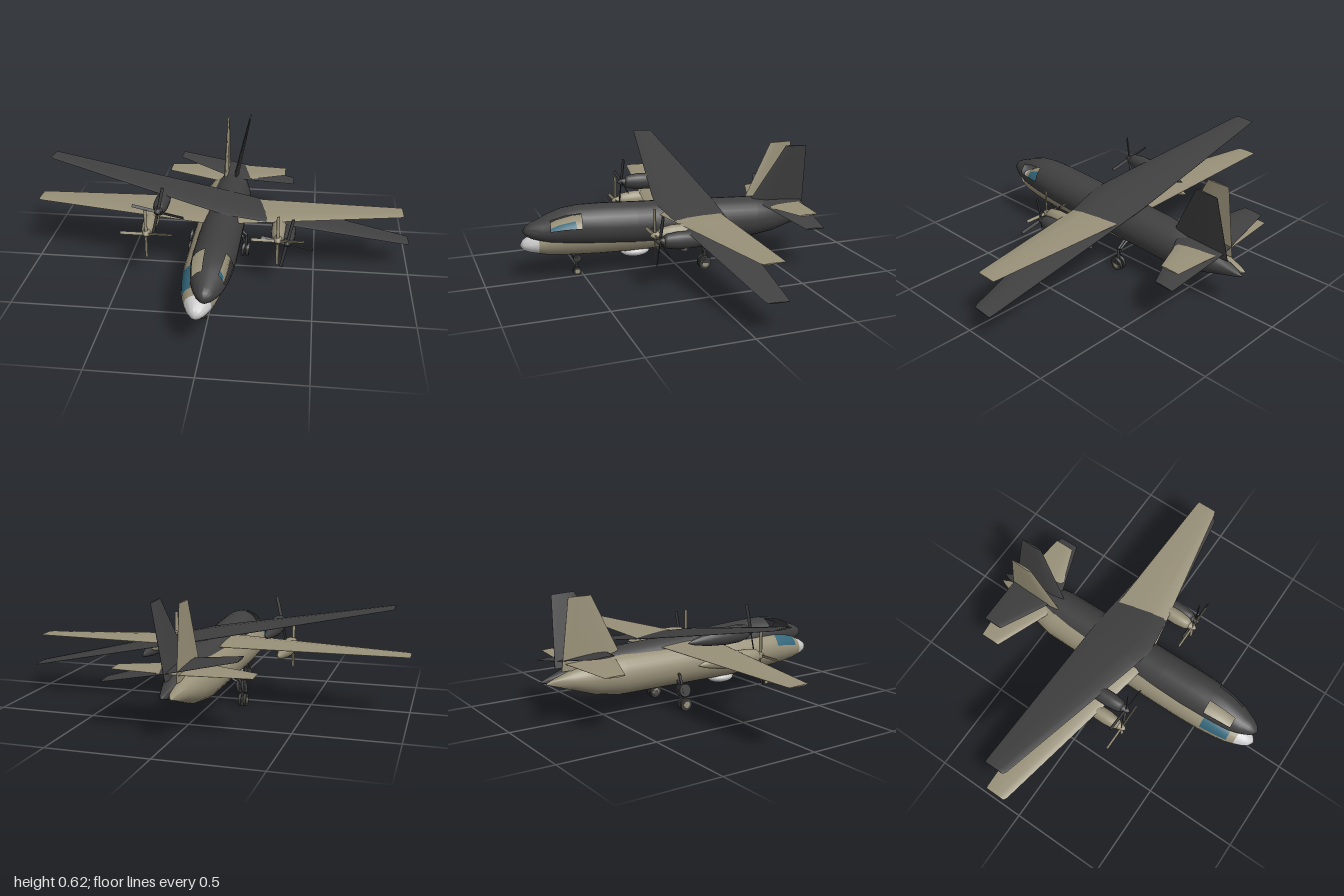
import * as THREE from 'three';
import { toCreasedNormals } from 'three/addons/utils/BufferGeometryUtils.js';

const mat = (name, color, side = THREE.FrontSide) => {
  const m = new THREE.MeshStandardMaterial({ color, side });
  m.name = name;
  return m;
};

// Skin over closed rings; slot(i, j) picks a material slot per quad, -1 leaves a hole
function loft(rings, slot = () => 0, crease = 0.7) {
  const n = rings[0].length, buckets = [[], [], []];
  rings.slice(1).forEach((_, i) => {
    for (let j = 0; j < n; j++) {
      const s = slot(i, j);
      if (s < 0) continue;
      const k = (j + 1) % n, a = i * n + j, b = i * n + k, d = a + n, c = b + n;
      buckets[s].push(a, d, b, b, d, c);
    }
  });
  const last = (rings.length - 1) * n;
  for (let j = 1; j < n - 1; j++) {
    buckets[slot(0, j)].push(0, j, j + 1);
    buckets[0].push(last, last + j + 1, last + j);
  }
  const g = new THREE.BufferGeometry();
  g.setAttribute('position', new THREE.Float32BufferAttribute(rings.flat(2), 3));
  g.setIndex(buckets.flat());
  let start = 0;
  buckets.forEach((b, s) => {
    if (b.length) g.addGroup(start, b.length, s);
    start += b.length;
  });
  return toCreasedNormals(g, crease);
}

// Aerofoil panel along x; stations are [x, leading z, trailing z, thickness]
const FOIL = [[0, 0], [0.06, 0.3], [0.3, 0.5], [0.65, 0.35], [1, 0.04],
  [1, -0.04], [0.65, -0.35], [0.3, -0.5], [0.06, -0.3]];
const panel = stations => loft(stations.map(([x, le, te, t]) =>
  FOIL.map(([u, v]) => [x, v * t, le + (te - le) * u])));
const mirrored = half => [...half.map(([x, ...r]) => [-x, ...r]).reverse(), ...half];

// Fuselage stations: z, half width, top, bottom
const BODY = [
  [0.815, 0.004, -0.012, -0.02], [0.8, 0.028, 0.01, -0.042], [0.77, 0.047, 0.028, -0.055],
  [0.73, 0.064, 0.044, -0.065], [0.69, 0.079, 0.066, -0.075], [0.62, 0.093, 0.094, -0.085],
  [0.54, 0.102, 0.108, -0.092], [0.42, 0.107, 0.111, -0.1], [0.25, 0.108, 0.109, -0.107],
  [-0.42, 0.108, 0.105, -0.108], [-0.55, 0.083, 0.09, -0.09], [-0.68, 0.045, 0.05, -0.046],
  [-0.78, 0.018, 0.018, -0.014], [-0.812, 0.003, 0.004, -0.003]];
const SIDES = 24;

function fuselage(openWindows) {
  const rings = BODY.map(([z, w, top, bottom]) => Array.from({ length: SIDES }, (_, j) => {
    const a = (j / SIDES) * Math.PI * 2;
    return [Math.cos(a) * w, (top + bottom) / 2 + Math.sin(a) * (top - bottom) / 2, z];
  }));
  return loft(rings, (i, j) => {
    if (i < 3) return 1;
    const window = (i === 4 || i === 5) && ((j >= 1 && j <= 3) || (j >= 8 && j <= 10));
    return window ? (openWindows ? -1 : 2) : 0;
  }, 0.9);
}

function aircraft(name, paint, nose, glass, pod, tyre) {
  const g = new THREE.Group();
  g.name = name;
  const add = (part, geo, m, x = 0, y = 0, z = 0, parent = g) => {
    const mesh = new THREE.Mesh(geo, m);
    mesh.name = part;
    mesh.position.set(x, y, z);
    parent.add(mesh);
    return mesh;
  };

  add('fuselage', fuselage(!glass), [paint, nose, glass || paint]);

  // Flying surfaces
  add('wing', panel(mirrored([[0, 0.14, -0.186, 0.03], [0.1, 0.125, -0.184, 0.028],
    [0.96, -0.04, -0.157, 0.01], [0.977, -0.05, -0.155, 0.006]])), paint, 0, 0.107);
  add('tailplane', panel(mirrored([[0, -0.44, -0.71, 0.022],
    [0.338, -0.575, -0.68, 0.008]])), paint, 0, 0.085);
  add('fin', panel([[0.05, -0.385, -0.73, 0.026], [0.13, -0.425, -0.72, 0.024],
    [0.407, -0.563, -0.685, 0.01]]).rotateZ(Math.PI / 2), paint);

  // Belly dome
  add('bellyDome', new THREE.SphereGeometry(1, 16, 10), pod, 0, -0.112, 0.215)
    .scale.set(0.055, 0.03, 0.078);

  // Engines with four-bladed propellers
  const shell = [[0.001, -0.17], [0.016, -0.13], [0.032, -0.05], [0.044, 0.05],
    [0.045, 0.13], [0.036, 0.185], [0.024, 0.2], [0.001, 0.2]];
  const cone = [[0.022, 0.196], [0.019, 0.215], [0.011, 0.233], [0.001, 0.242]];
  const turn = pts => new THREE.LatheGeometry(
    pts.map(([r, z]) => new THREE.Vector2(r, z)), 18).rotateX(Math.PI / 2);
  for (const s of [-1, 1]) {
    const engine = new THREE.Group();
    engine.name = s > 0 ? 'leftEngine' : 'rightEngine';
    engine.position.set(s * 0.335, 0.07, 0);
    g.add(engine);
    add('nacelle', turn(shell), paint, 0, 0, 0, engine).scale.x = 0.85;
    add('spinner', turn(cone), paint, 0, 0, 0, engine);
    for (let k = 0; k < 4; k++) {
      const blade = new THREE.BoxGeometry(0.016, 0.122, 0.004)
        .rotateY(0.5).translate(0, 0.073, 0.218).rotateZ(k * Math.PI / 2);
      add('propellerBlade', blade, paint, 0, 0, 0, engine);
    }
  }

  // Landing gear
  const wheel = (x, y, z, r, w) => {
    add('tyre', new THREE.CylinderGeometry(r, r, w, 20).rotateZ(Math.PI / 2), tyre, x, y, z);
    add('wheelHub', new THREE.CylinderGeometry(r * 0.55, r * 0.55, w + 0.004, 16)
      .rotateZ(Math.PI / 2), paint, x, y, z);
  };
  const strut = (x0, y0, x1, y1, z, r) => {
    const curve = new THREE.LineCurve3(new THREE.Vector3(x0, y0, z), new THREE.Vector3(x1, y1, z));
    add('gearStrut', new THREE.TubeGeometry(curve, 1, r, 8), tyre);
  };
  for (const s of [-1, 1]) {
    wheel(s * 0.01, -0.187, 0.53, 0.021, 0.009);
    for (const x of [0.134, 0.159]) wheel(s * x, -0.175, -0.12, 0.033, 0.014);
    strut(s * 0.147, -0.175, s * 0.135, -0.095, -0.12, 0.007);
    strut(s * 0.135, -0.095, s * 0.07, -0.06, -0.12, 0.007);
  }
  strut(0, -0.187, 0, -0.08, 0.53, 0.006);
  return g;
}

export function createModel() {
  const tan = mat('tan', 0x989078);
  const dark = mat('charcoal', 0x404040, THREE.DoubleSide);
  const light = mat('lightGrey', 0xcccccc);
  const glass = mat('tealGlass', 0x33667a);
  const tyre = mat('tyreGrey', 0x3a3a3a);

  const model = new THREE.Group();
  model.name = 'aircraftPair';

  // Level tan airframe
  const level = aircraft('tanAircraft', tan, light, glass, light, tyre);
  level.position.set(-0.022, 0.208, 0);

  // Charcoal airframe, pitched up and banked, with open window frames
  const banked = aircraft('charcoalAircraft', dark, dark, null, dark, dark);
  banked.position.set(0.018, 0.25, -0.01);
  banked.rotation.set(-0.05, 0, -0.206);

  model.add(level, banked);
  return model;
}
